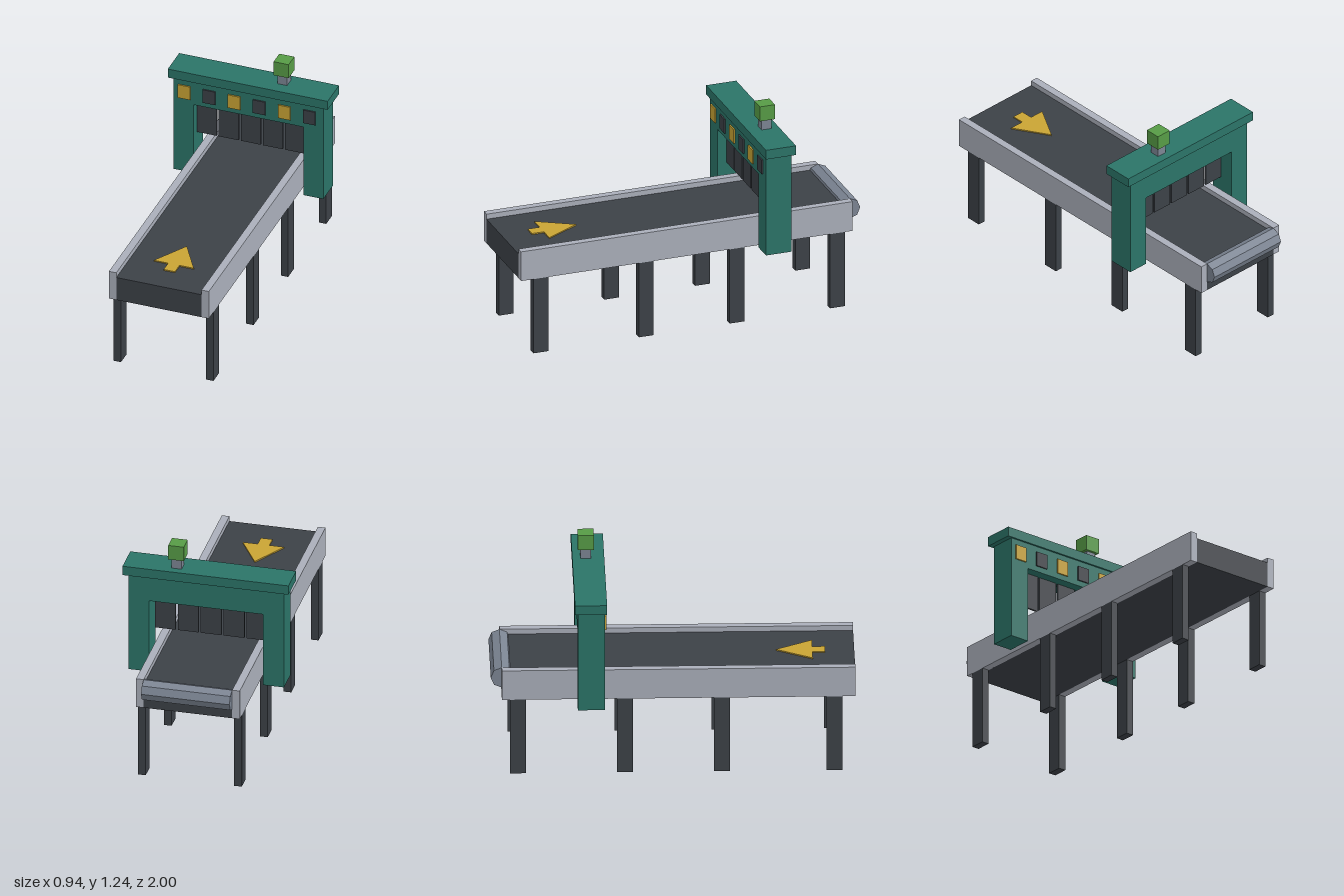
import * as THREE from 'three';

const mat = (name, color) => {
  const m = new THREE.MeshStandardMaterial({ color });
  m.name = name;
  return m;
};

export function createModel() {
  const group = new THREE.Group();
  const teal = mat('teal', 0x2b7468);
  const dark = mat('charcoal', 0x3c4147);
  const light = mat('lightGrey', 0xaaafba);
  const steel = mat('steelGrey', 0x7c8593);
  const yellow = mat('yellow', 0xc9a434);
  const green = mat('green', 0x579c46);

  // Box given by its extents along each axis
  const box = (name, m, [x0, x1], [y0, y1], [z0, z1]) => {
    const mesh = new THREE.Mesh(new THREE.BoxGeometry(x1 - x0, y1 - y0, z1 - z0), m);
    mesh.position.set((x0 + x1) / 2, (y0 + y1) / 2, (z0 + z1) / 2);
    mesh.name = name;
    group.add(mesh);
    return mesh;
  };
  const around = (c, size) => [c - size / 2, c + size / 2];

  // Conveyor bed with side rails
  box('belt', dark, [-0.25, 0.25], [0.445, 0.59], [-0.94, 1]);
  for (const s of [-1, 1]) {
    const side = s < 0 ? 'right' : 'left';
    const x = around(s * 0.2715, 0.043);
    box(side + 'Rail', light, x, [0.445, 0.62], [-0.94, 1]);
    for (const z of [0.885, 0.268, -0.264, -0.851])
      box(side + 'Leg', dark, x, [0, 0.445], around(z, 0.087));
    // Gantry post
    box(side + 'Post', teal, around(s * 0.381, 0.117), [0.445, 1.035], [-0.527, -0.378]);
  }

  // Eight-sided end roller
  const rollerGeo = new THREE.CylinderGeometry(0.06, 0.06, 0.5, 8).toNonIndexed();
  rollerGeo.computeVertexNormals();
  const roller = new THREE.Mesh(rollerGeo, steel);
  roller.rotation.z = Math.PI / 2;
  roller.position.set(0, 0.56, -0.94);
  roller.name = 'endRoller';
  group.add(roller);

  // Direction arrow on the belt
  const shape = new THREE.Shape(
    [[0, -0.57], [-0.117, -0.77], [-0.033, -0.77], [-0.033, -0.84],
      [0.033, -0.84], [0.033, -0.77], [0.117, -0.77]].map(([x, y]) => new THREE.Vector2(x, y)));
  const arrow = new THREE.Mesh(
    new THREE.ExtrudeGeometry(shape, { depth: 0.007, bevelEnabled: false }), yellow);
  arrow.rotation.x = -Math.PI / 2;
  arrow.position.y = 0.59;
  arrow.name = 'directionArrow';
  group.add(arrow);

  // Gantry top
  box('lintel', teal, [-0.323, 0.323], [0.885, 1.035], [-0.527, -0.378]);
  box('cap', teal, [-0.469, 0.469], [1.035, 1.09], [-0.543, -0.367]);

  // Hanging curtain strips
  for (let i = 0; i < 5; i++)
    box('curtainStrip', dark, around(-0.266 + i * 0.1295, 0.117), [0.678, 0.885], [-0.444, -0.432]);

  // Alternating panels across the lintel
  for (let i = 0; i < 6; i++)
    box('panel', i % 2 ? dark : yellow, around(-0.375 + i * 0.1468, 0.073), [0.916, 1.0], [-0.377, -0.369]);

  // Signal lamp
  box('lampStem', steel, [0.146, 0.203], [1.09, 1.15], [-0.498, -0.44]);
  box('lamp', green, [0.13, 0.218], [1.15, 1.237], [-0.513, -0.425]);

  return group;
}
